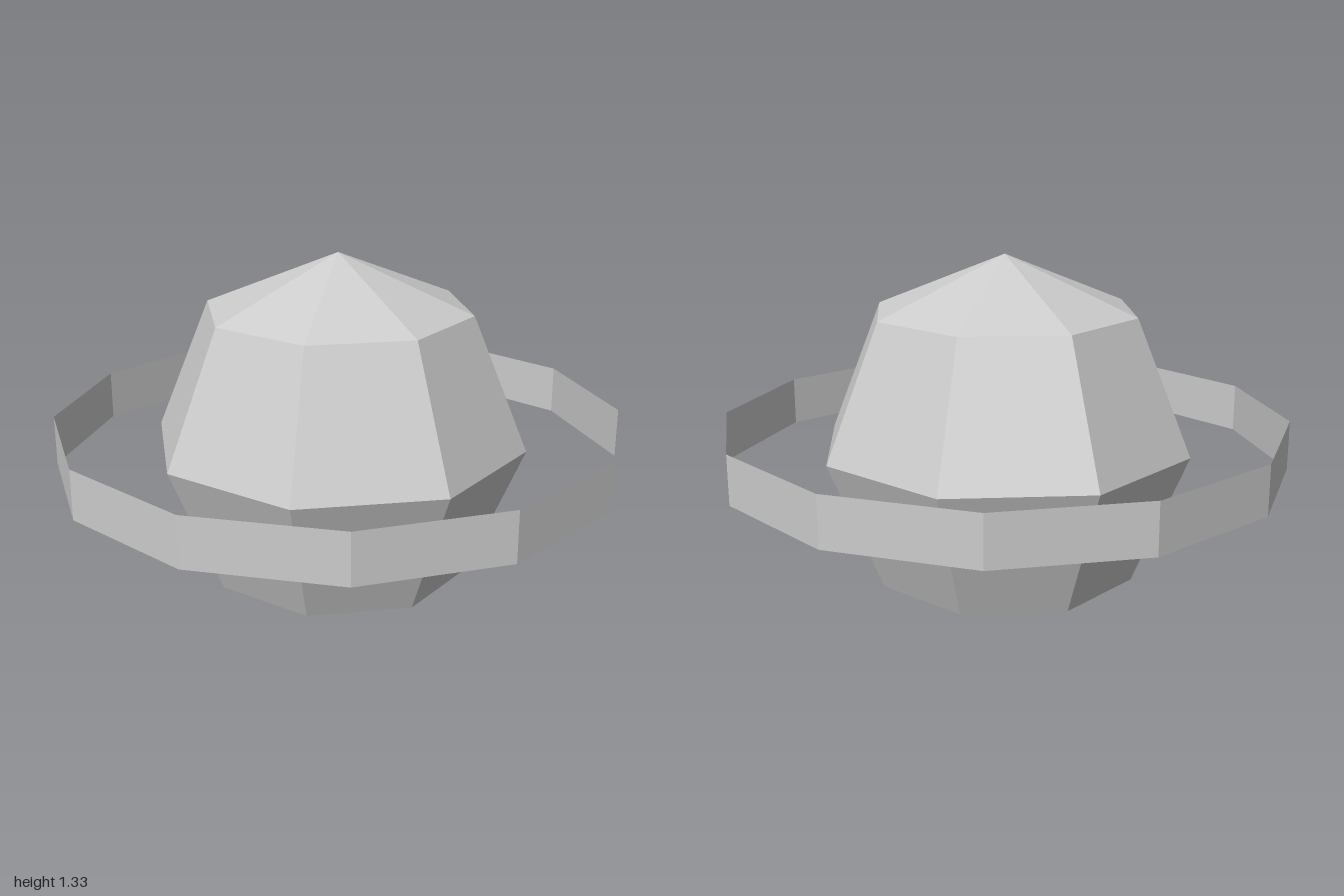
import * as THREE from 'three';

export function createModel() {
  const group = new THREE.Group();
  const radius = 2 / 3;

  // Faceted planet, standing on its lower pole
  const planet = new THREE.Mesh(
    new THREE.SphereGeometry(radius, 8, 4),
    new THREE.MeshStandardMaterial({ color: 0xcccccc, flatShading: true })
  );
  planet.name = 'planet';
  planet.position.y = radius;

  // Thin twelve-sided band floating around the equator
  const ring = new THREE.Mesh(
    new THREE.CylinderGeometry(1, 1, 0.175, 12, 1, true),
    new THREE.MeshStandardMaterial({ color: 0xcccccc, flatShading: true, side: THREE.DoubleSide })
  );
  ring.name = 'ring';
  ring.position.y = radius;

  group.add(planet, ring);
  return group;
}
